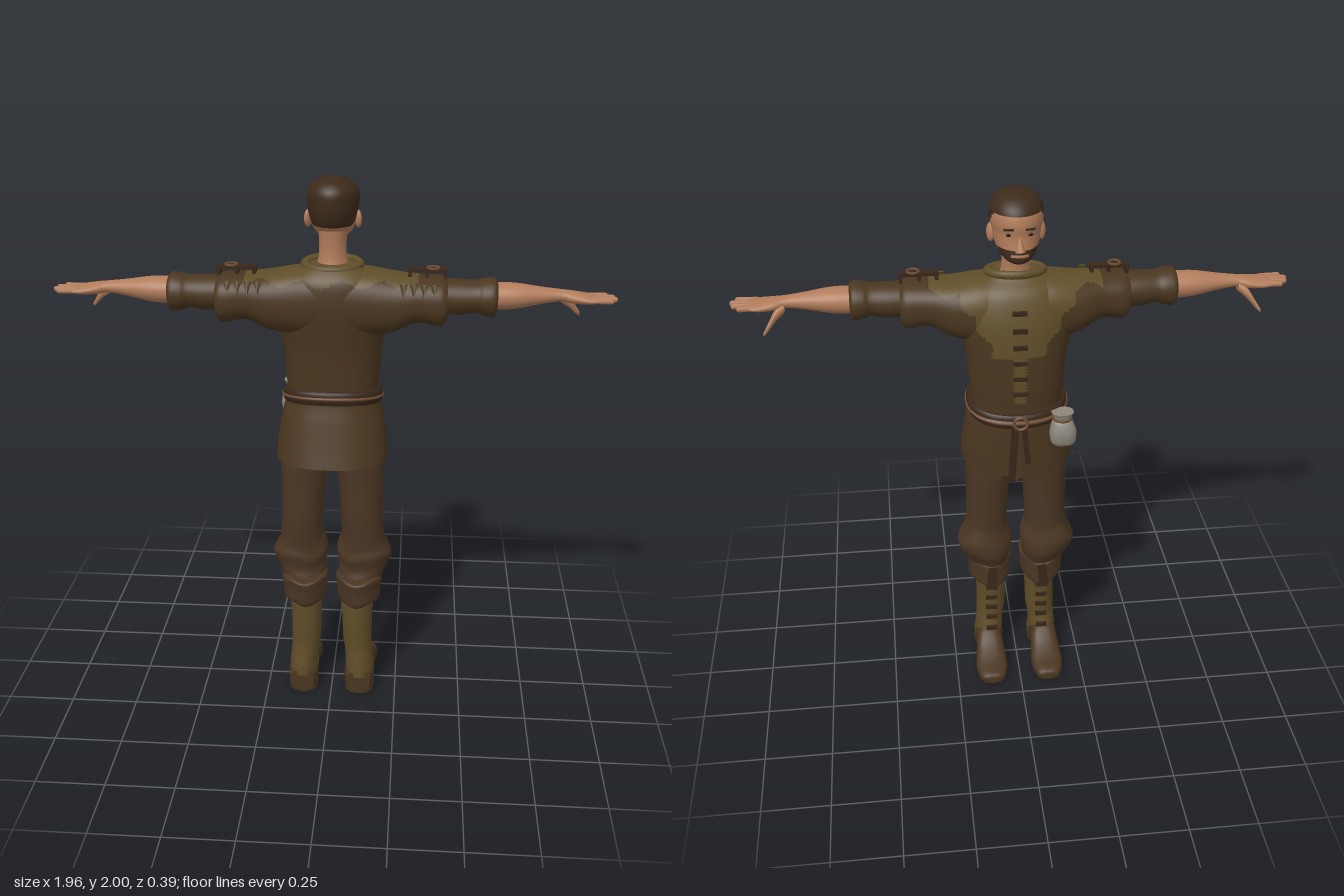
import * as THREE from 'three';

const mat = (name, color) => Object.assign(new THREE.MeshStandardMaterial({ color }), { name });

export function createModel() {
  const model = new THREE.Group();
  model.name = 'standingMan';
  const tunic = mat('tunic brown', 0x4a361f), trouser = mat('trouser brown', 0x4b3624);
  const olive = mat('olive cloth', 0x5f4d28), skin = mat('skin', 0xb07b5a);
  const hair = mat('hair', 0x3c2a1a), leather = mat('boot leather', 0x4a3520);
  const strap = mat('dark strap', 0x38261a), grey = mat('pouch grey', 0x8b867b);
  const buckleMat = mat('buckle copper', 0x6e4a32), dark = mat('eye dark', 0x1c140f);

  // Smooth tube through sections [t, a0, a1, b0, b1] along an axis (t ascending).
  // a, b are x,z for axis y; y,z for axis x; x,y for axis z.
  function loft(axis, rings, { seg = 32, sub = 4, p = 1, warp } = {}) {
    const rows = [];
    for (let i = 0; i < rings.length - 1; i++) {
      const R = k => rings[Math.min(Math.max(k, 0), rings.length - 1)];
      for (let s = 0; s < sub; s++) {
        const u = s / sub;
        rows.push(R(i).map((v, c) => 0.5 * (2 * v + (R(i + 1)[c] - R(i - 1)[c]) * u
          + (2 * R(i - 1)[c] - 5 * v + 4 * R(i + 1)[c] - R(i + 2)[c]) * u * u
          + (3 * v - R(i - 1)[c] - 3 * R(i + 1)[c] + R(i + 2)[c]) * u ** 3)));
      }
    }
    rows.push(rings[rings.length - 1]);
    const pos = [], idx = [];
    const bend = v => Math.sign(v) * Math.abs(v) ** p;
    const put = (t, a, b) => {
      const v = axis === 'y' ? new THREE.Vector3(a, t, b)
        : axis === 'x' ? new THREE.Vector3(t, a, b) : new THREE.Vector3(a, b, t);
      if (warp) warp(v);
      pos.push(v.x, v.y, v.z);
    };
    const ring = ([t, a0, a1, b0, b1]) => {
      for (let j = 0; j < seg; j++) {
        const w = j / seg * Math.PI * 2, c = bend(Math.cos(w)), s = bend(Math.sin(w));
        const [ka, kb] = axis === 'y' ? [s, c] : [c, s];
        put(t, (a0 + a1) / 2 + ka * (a1 - a0) / 2, (b0 + b1) / 2 + kb * (b1 - b0) / 2);
      }
    };
    rows.forEach(ring);
    for (let i = 0; i < rows.length - 1; i++) for (let j = 0; j < seg; j++) {
      const a = i * seg + j, b = i * seg + (j + 1) % seg;
      idx.push(a, b, a + seg, b, b + seg, a + seg);
    }
    // flat end caps
    [rows[0], rows[rows.length - 1]].forEach((r, end) => {
      const base = pos.length / 3;
      ring(r);
      put(r[0], (r[1] + r[2]) / 2, (r[3] + r[4]) / 2);
      for (let j = 0; j < seg; j++) {
        const a = base + j, b = base + (j + 1) % seg;
        idx.push(base + seg, ...(end ? [a, b] : [b, a]));
      }
    });
    const g = new THREE.BufferGeometry();
    g.setAttribute('position', new THREE.Float32BufferAttribute(pos, 3));
    g.setIndex(idx);
    g.computeVertexNormals();
    return g;
  }
  // Sort faces into material groups by a rule on the face centre.
  function paint(g, rule, count) {
    const P = g.attributes.position, I = g.index.array, sets = Array.from({ length: count }, () => []);
    for (let i = 0; i < I.length; i += 3) {
      const m = f => (f(I[i]) + f(I[i + 1]) + f(I[i + 2])) / 3;
      sets[rule(m(k => P.getX(k)), m(k => P.getY(k)), m(k => P.getZ(k)))].push(I[i], I[i + 1], I[i + 2]);
    }
    g.setIndex(sets.flat());
    let start = 0;
    sets.forEach((s, k) => { g.addGroup(start, s.length, k); start += s.length; });
    return g;
  }
  function add(name, g, m, at = [0, 0, 0], rot = [0, 0, 0]) {
    const mesh = new THREE.Mesh(g, m);
    mesh.name = name;
    mesh.position.set(...at);
    mesh.rotation.set(...rot);
    model.add(mesh);
    return mesh;
  }
  // Add a part on the left (+x) and its mirror image on the right.
  function pair(name, g, m, at, rot) {
    const left = add('left' + name, g, m, at, rot);
    left.updateMatrix();
    const mg = g.clone().applyMatrix4(left.matrix).scale(-1, 1, 1), I = mg.index.array;
    for (let i = 0; i < I.length; i += 3) [I[i + 1], I[i + 2]] = [I[i + 2], I[i + 1]];
    add('right' + name, mg, m);
  }
  const box = (x, y, z) => new THREE.BoxGeometry(x, y, z);
  const ball = (x, y, z) => new THREE.SphereGeometry(1, 20, 14).scale(x, y, z);
  const sym = rows => rows.map(([t, r, z0, z1]) => [t, -r, r, z0, z1]);

  // Tunic with an olive yoke and placket; ragged at the front hem
  const yoke = (x, y, z) => {
    const a = Math.abs(x);
    if (y > 1.65 + 0.012 * Math.sin(x * 45)) return a < 0.3 ? 1 : 0;
    if (z > 0) return 0;
    return (y > 1.44 && a < 0.08 + (y - 1.44) * 0.6 + 0.012 * Math.sin(y * 75)) || (a < 0.022 && y > 1.26) ? 1 : 0;
  };
  const body = sym([[0.985, 0.205, -0.135, 0.195], [1.05, 0.2, -0.135, 0.175], [1.14, 0.185, -0.135, 0.15],
    [1.22, 0.166, -0.132, 0.128], [1.3, 0.17, -0.137, 0.127], [1.4, 0.178, -0.138, 0.132],
    [1.5, 0.195, -0.132, 0.145], [1.58, 0.2, -0.117, 0.15], [1.65, 0.17, -0.09, 0.14],
    [1.69, 0.115, -0.05, 0.11], [1.705, 0.08, -0.035, 0.085]]);
  add('tunicBody', paint(loft('y', body, { seg: 96, sub: 8, p: 0.88, warp: v => {
    const k = Math.max(0, (1.15 - v.y) / 0.165), f = Math.max(0, -v.z / 0.135);
    v.y -= k * f * (0.04 + 0.014 * Math.sin(v.x * 85));
  } }), yoke, 2), [tunic, olive]);
  const half = [[0.001, 1.45, 1.695, -0.085, 0.148], [0.12, 1.45, 1.69, -0.095, 0.15], [0.22, 1.47, 1.675, -0.08, 0.152],
    [0.3, 1.508, 1.67, -0.052, 0.153], [0.375, 1.497, 1.668, -0.042, 0.157], [0.4, 1.515, 1.655, -0.03, 0.148]];
  const across = [...half.map(([x, ...r]) => [-x, ...r]).reverse(), ...half.slice(1)];
  add('shouldersAndSleeves', paint(loft('x', across, { seg: 64, sub: 8, p: 0.85 }), yoke, 2), [tunic, olive]);
  add('collar', new THREE.TorusGeometry(0.082, 0.015, 10, 40).rotateX(Math.PI / 2).scale(1.15, 1, 0.85), olive, [0, 1.7, 0.028], [0.12, 0, 0]);
  for (let i = 0; i < 6; i++)
    add('toggle', box(0.05, 0.014, 0.014), strap, [0, 1.3 + i * 0.06, i < 4 ? -0.138 : -0.132 + (i - 4) * 0.014]);

  // Shoulder straps and ragged patches
  pair('ShoulderStrap', box(0.14, 0.012, 0.032), strap, [0.332, 1.69, 0.055]);
  for (const x of [0.27, 0.33, 0.393]) pair('StrapLoop', box(0.012, 0.03, 0.042), strap, [x, 1.678, 0.055]);
  pair('StrapBuckle', new THREE.TorusGeometry(0.02, 0.005, 6, 16).rotateX(Math.PI / 2), buckleMat, [0.35, 1.698, 0.055]);
  for (let i = 0; i < 4; i++)
    pair('SleeveTear', new THREE.ConeGeometry(0.014, 0.05, 4).scale(1, 1, 0.3), olive, [0.25 + i * 0.035, 1.635, 0.143], [Math.PI - 0.4, 0, 0]);

  // Lower sleeves, bare forearms and hands
  pair('LowerSleeve', loft('x', [[0.37, 1.545, 1.66, -0.015, 0.125], [0.44, 1.535, 1.66, -0.015, 0.125],
    [0.5, 1.545, 1.658, -0.008, 0.125], [0.525, 1.535, 1.665, -0.015, 0.132], [0.56, 1.53, 1.667, -0.015, 0.133],
    [0.572, 1.545, 1.655, -0.003, 0.12]]), tunic);
  pair('Forearm', loft('x', [[0.54, 1.555, 1.65, 0, 0.11], [0.63, 1.56, 1.65, 0.003, 0.108], [0.72, 1.578, 1.638, 0.018, 0.09],
    [0.79, 1.588, 1.63, 0.024, 0.08], [0.83, 1.583, 1.625, 0.012, 0.092], [0.88, 1.583, 1.617, 0.006, 0.105],
    [0.915, 1.588, 1.612, 0.012, 0.104]]), skin);
  [[0.022, 0.955], [0.046, 0.976], [0.07, 0.982], [0.094, 0.966]].forEach(([z, tip]) => {
    const len = tip - 0.88;
    pair('Finger', new THREE.CapsuleGeometry(0.0105, len - 0.02, 4, 10).rotateZ(Math.PI / 2), skin,
      [0.88 + len / 2, 1.602, z], [0, -(z - 0.058) * 1.5, 0]);
  });
  pair('Thumb', loft('x', [[0.795, 1.578, 1.61, 0.015, 0.055], [0.825, 1.555, 1.595, -0.004, 0.035],
    [0.85, 1.53, 1.558, -0.018, 0.01], [0.868, 1.515, 1.53, -0.03, -0.014]], { seg: 16 }), skin);

  // Belt, tilted down to the front, with buckle and hanging ends
  const tilt = v => { v.y += v.z * 0.17; };
  add('belt', loft('y', sym([[1.188, 0.176, -0.145, 0.142], [1.205, 0.182, -0.15, 0.148], [1.228, 0.18, -0.148, 0.146],
    [1.238, 0.172, -0.142, 0.138]]), { seg: 48, p: 0.88, warp: tilt }), strap);
  add('beltCord', loft('y', sym([[1.203, 0.176, -0.15, 0.145], [1.212, 0.187, -0.155, 0.153], [1.221, 0.176, -0.15, 0.145]]),
    { seg: 48, p: 0.88, warp: tilt }), buckleMat);
  add('beltBuckle', new THREE.TorusGeometry(0.024, 0.006, 8, 20), buckleMat, [0, 1.19, -0.157]);
  add('beltEnd', box(0.026, 0.24, 0.008), strap, [0.025, 1.06, -0.146], [0, 0, 0.06]);
  add('beltEnd', box(0.02, 0.17, 0.008), strap, [-0.02, 1.1, -0.146], [0, 0, -0.1]);

  // Grey pouch on the right hip
  add('pouch', loft('y', [[1.085, -0.185, -0.125, -0.155, -0.115], [1.1, -0.2, -0.11, -0.17, -0.095], [1.14, -0.202, -0.107, -0.175, -0.09],
    [1.175, -0.19, -0.115, -0.165, -0.095], [1.19, -0.182, -0.122, -0.155, -0.1], [1.215, -0.192, -0.112, -0.16, -0.095]], { p: 0.8 }), grey);
  add('pouchCord', new THREE.TorusGeometry(0.032, 0.005, 6, 20).rotateX(Math.PI / 2), buckleMat, [-0.152, 1.19, -0.128]);

  // Trousers gathered at the knee, with turned cuffs
  pair('TrouserLeg', loft('y', [[0.46, 0.03, 0.175, -0.045, 0.12], [0.5, 0.025, 0.19, -0.06, 0.12], [0.54, 0.022, 0.21, -0.078, 0.11],
    [0.585, 0.016, 0.226, -0.082, 0.12], [0.62, 0.025, 0.212, -0.075, 0.115], [0.66, 0.035, 0.196, -0.068, 0.118], [0.75, 0.032, 0.19, -0.072, 0.126],
    [0.88, 0.022, 0.19, -0.08, 0.127], [0.98, 0.008, 0.188, -0.085, 0.13], [1.08, 0.002, 0.17, -0.085, 0.12]],
  { p: 0.92, warp: v => { if (v.y < 0.66) v.y += 0.012 * Math.sin(v.z * 30 + v.x * 20); } }), trouser);
  pair('TrouserCuff', loft('y', [[0.385, 0.03, 0.172, -0.045, 0.132], [0.4, 0.022, 0.184, -0.052, 0.145], [0.45, 0.018, 0.187, -0.053, 0.15],
    [0.488, 0.016, 0.19, -0.055, 0.158], [0.496, 0.03, 0.175, -0.04, 0.145]],
  { warp: v => { v.y += 0.007 * Math.sin(v.x * 50) + (0.05 - v.z) * -0.06; } }), trouser);
  pair('KneeTie', box(0.035, 0.1, 0.008), strap, [0.1, 0.43, -0.06], [0.05, 0, 0.12]);

  // Boots: olive shafts with laced fronts over leather shoes
  pair('BootShaft', loft('y', [[0.075, 0.052, 0.167, -0.035, 0.137], [0.12, 0.054, 0.163, -0.03, 0.135], [0.18, 0.05, 0.157, -0.012, 0.125],
    [0.22, 0.044, 0.156, -0.01, 0.124], [0.32, 0.04, 0.156, -0.014, 0.13], [0.43, 0.035, 0.165, -0.025, 0.13]]), olive);
  for (let i = 0; i < 5; i++) pair('BootLace', box(0.045, 0.016, 0.012), strap, [0.1, 0.15 + i * 0.05, i ? -0.013 : -0.024]);
  pair('Shoe', loft('z', [[-0.2, 0.09, 0.135, 0.012, 0.035], [-0.188, 0.066, 0.158, 0.004, 0.05], [-0.13, 0.05, 0.174, 0, 0.066],
    [-0.07, 0.053, 0.17, 0.004, 0.098], [-0.02, 0.058, 0.164, 0.016, 0.14], [0.03, 0.055, 0.165, 0.02, 0.14],
    [0.09, 0.052, 0.167, 0.015, 0.11], [0.13, 0.066, 0.154, 0.015, 0.095]], { p: 0.75 }), leather);
  pair('ShoeHeel', new THREE.CylinderGeometry(0.057, 0.055, 0.035, 24).scale(1, 1, 0.88), leather, [0.11, 0.0175, 0.082]);

  // Neck and head, with hair and beard as separate faces
  add('neck', loft('y', sym([[1.67, 0.065, -0.045, 0.08], [1.72, 0.05, -0.04, 0.066], [1.78, 0.048, -0.045, 0.064], [1.84, 0.055, -0.05, 0.07]])), skin);
  const clamp = THREE.MathUtils.clamp;
  const headPaint = (x, y, z) => {
    if (y > 1.835 + 0.105 * clamp((0.035 - z) / 0.09, 0, 1)) return 1;
    const chin = z < -0.055 && y < 1.803, lip = z < -0.08 && y > 1.814 && y < 1.826 && Math.abs(x) < 0.035;
    const jaw = z < -0.055 && y < 1.826 && Math.abs(x) > 0.03;
    return chin || lip || jaw ? 1 : 0;
  };
  const skull = sym([[1.775, 0.03, -0.105, -0.03], [1.785, 0.047, -0.118, 0.005], [1.805, 0.064, -0.12, 0.045], [1.835, 0.077, -0.114, 0.083],
    [1.87, 0.084, -0.11, 0.1], [1.91, 0.091, -0.113, 0.107], [1.95, 0.088, -0.1, 0.105], [1.978, 0.068, -0.07, 0.083],
    [1.993, 0.038, -0.035, 0.05], [2, 0.006, 0, 0.015]]);
  add('head', paint(loft('y', skull, { seg: 72, sub: 7 }), headPaint, 2), [skin, hair]);
  add('nose', new THREE.ConeGeometry(0.017, 0.055, 12).scale(1, 1, 1.2), skin, [0, 1.853, -0.121], [0.3, 0, 0]);
  pair('Ear', ball(0.012, 0.032, 0.02), skin, [0.087, 1.852, 0], [0.15, 0.35, 0]);
  pair('Eye', ball(0.013, 0.006, 0.005), dark, [0.033, 1.878, -0.1], [0, 0.3, 0]);
  pair('Eyebrow', box(0.034, 0.007, 0.008), hair, [0.035, 1.897, -0.103], [0, -0.35, -0.1]);
  return model;
}
